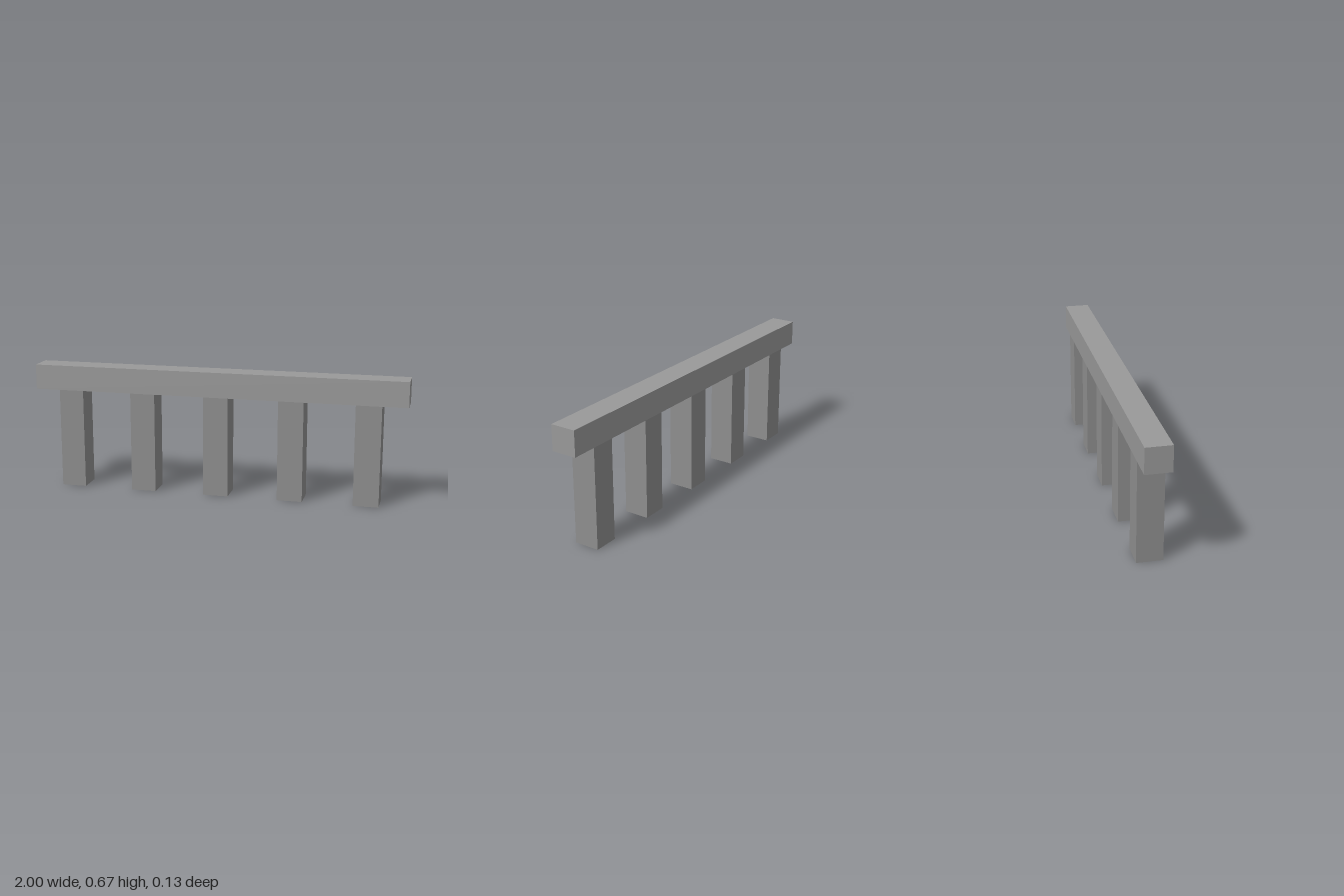
import * as THREE from 'three';

const UNIT = 2 / 15; // thickness shared by the beam and the posts
const POST_HEIGHT = 4 * UNIT;
const POST_COUNT = 5;
const POST_SPACING = 3 * UNIT;

export function createModel() {
  const group = new THREE.Group();
  const beamMaterial = new THREE.MeshStandardMaterial({ color: 0x999999 });
  const postMaterial = new THREE.MeshStandardMaterial({ color: 0x8e8e8e });

  // Horizontal beam resting on the posts
  const beam = new THREE.Mesh(new THREE.BoxGeometry(2, UNIT, UNIT), beamMaterial);
  beam.name = 'beam';
  beam.position.y = POST_HEIGHT + UNIT / 2;
  group.add(beam);

  // Evenly spaced square posts, slightly darker than the beam
  const postGeometry = new THREE.BoxGeometry(UNIT, POST_HEIGHT, UNIT);
  for (let i = 0; i < POST_COUNT; i++) {
    const post = new THREE.Mesh(postGeometry, postMaterial);
    post.name = `post${i + 1}`;
    post.position.set((i - (POST_COUNT - 1) / 2) * POST_SPACING, POST_HEIGHT / 2, 0);
    group.add(post);
  }

  return group;
}
